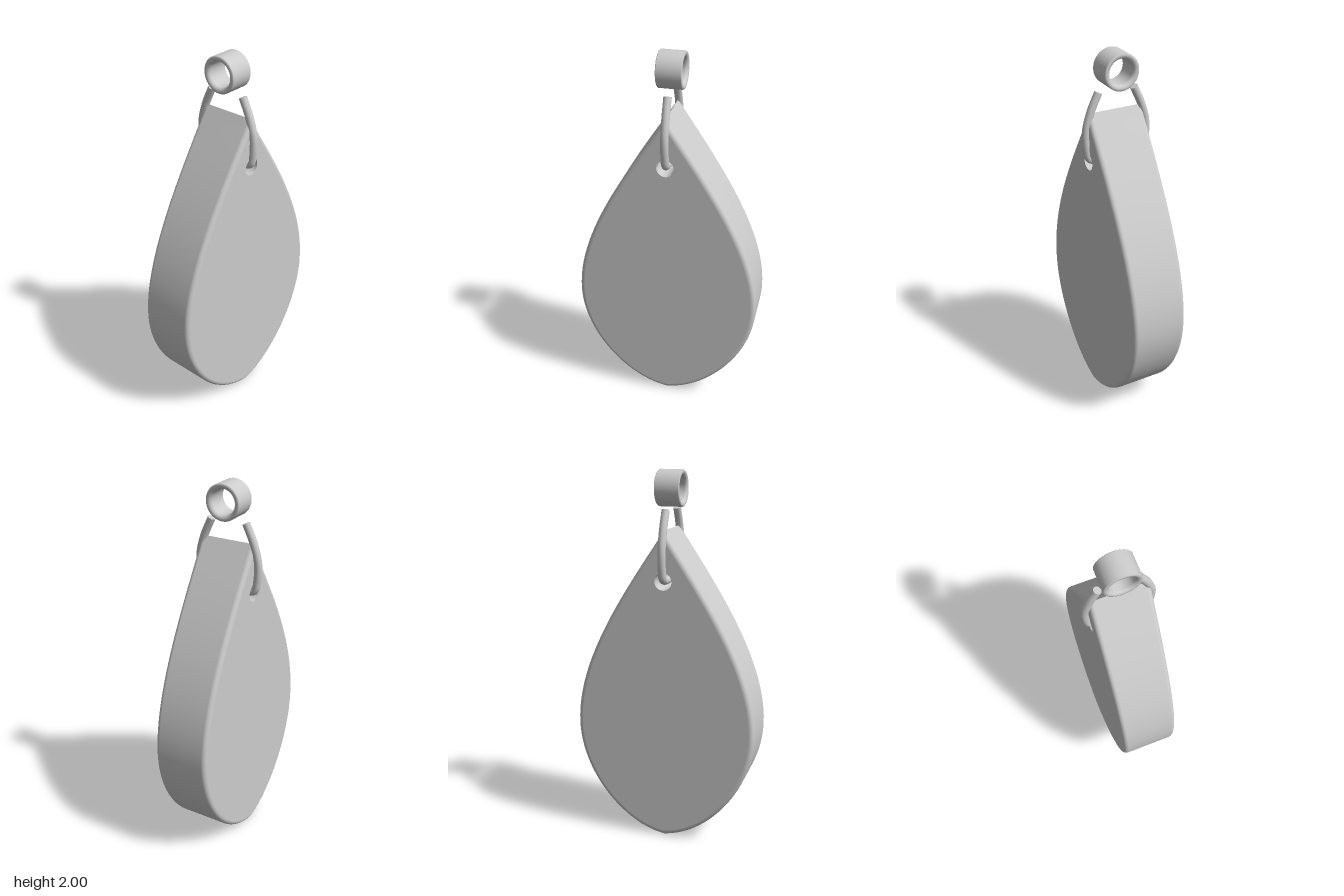
import * as THREE from 'three';

const silver = new THREE.MeshStandardMaterial({ color: 0xcccccc, side: THREE.DoubleSide });
silver.name = 'silver';

const HOLE_Y = 1.44, HOLE_R = 0.046, HALF = 0.15, ROUND = 0.024;

// the front swells slightly towards the top
const lean = (y, z) => z + (z > 0 ? 0.011 * (y / 1.45) : 0);

function add(group, name, geometry) {
  const mesh = new THREE.Mesh(geometry, silver);
  mesh.name = name;
  group.add(mesh);
  return mesh;
}

// teardrop outline, from the tip down the left side and back up the right
function outline() {
  const path = new THREE.Path();
  path.moveTo(0, 1.7);
  path.bezierCurveTo(-0.2, 1.4, -0.495, 1.0, -0.495, 0.63);
  path.bezierCurveTo(-0.495, 0.32, -0.24, 0.03, 0, 0.002);
  path.bezierCurveTo(0.24, 0.03, 0.495, 0.32, 0.495, 0.63);
  path.bezierCurveTo(0.495, 1.0, 0.2, 1.4, 0, 1.7);
  return path.getPoints(32);
}

// outline shrunk towards the middle of the drop
const inset = (points, d) => points.map(p =>
  new THREE.Vector2(p.x * (1 - d / 0.495), 0.65 + (p.y - 0.65) * (1 - d / 0.6)));

function buildStone(group) {
  const base = outline();

  // rounded rim: outlines stacked from back to front
  const sections = [], steps = 6;
  for (const side of [-1, 1]) {
    for (let i = 0; i <= steps; i++) {
      const a = (side < 0 ? 1 - i / steps : i / steps) * Math.PI / 2;
      sections.push({ d: ROUND * (1 - Math.cos(a)), z: side * (HALF - ROUND + ROUND * Math.sin(a)) });
    }
  }
  const pos = [], index = [], n = base.length;
  sections.forEach(({ d, z }, r) => {
    for (const p of inset(base, d)) pos.push(p.x, p.y, lean(p.y, z));
    if (r === 0) return;
    for (let i = 0; i < n - 1; i++) {
      const a = (r - 1) * n + i, b = a + 1, c = a + n, e = b + n;
      index.push(a, b, e, a, e, c);
    }
  });
  const rim = new THREE.BufferGeometry();
  rim.setAttribute('position', new THREE.Float32BufferAttribute(pos, 3));
  rim.setIndex(index);
  rim.computeVertexNormals();
  add(group, 'rim', rim);

  // flat faces pierced by the hole
  for (const side of [-1, 1]) {
    const shape = new THREE.Shape(inset(base, ROUND));
    const hole = new THREE.Path();
    hole.absarc(0, HOLE_Y, HOLE_R, 0, Math.PI * 2, true);
    shape.holes.push(hole);
    const face = new THREE.ShapeGeometry(shape, 16);
    if (side < 0) {
      const ix = face.index.array;
      for (let i = 0; i < ix.length; i += 3) [ix[i], ix[i + 1]] = [ix[i + 1], ix[i]];
    }
    const p = face.attributes.position;
    for (let i = 0; i < p.count; i++) p.setZ(i, lean(p.getY(i), side * HALF));
    face.computeVertexNormals();
    add(group, side > 0 ? 'frontFace' : 'backFace', face);
  }

  // wall of the drilled hole
  const front = lean(HOLE_Y, HALF);
  const bore = new THREE.CylinderGeometry(HOLE_R, HOLE_R, front + HALF, 32, 1, true);
  bore.rotateX(Math.PI / 2).translate(0, HOLE_Y, (front - HALF) / 2);
  add(group, 'holeWall', bore);
}

// wire that passes through the hole and rises on both faces
function buildWire(group) {
  const half = [[1.8, 0.1], [1.7, 0.145], [1.6, 0.171], [1.5, 0.167], [1.455, 0.154], [1.441, 0.12]];
  const points = [
    ...half.map(([y, z]) => new THREE.Vector3(0, y, z)),
    new THREE.Vector3(0, HOLE_Y, 0),
    ...half.slice().reverse().map(([y, z]) => new THREE.Vector3(0, y, -z)),
  ];
  const curve = new THREE.CatmullRomCurve3(points);
  add(group, 'wire', new THREE.TubeGeometry(curve, 96, 0.021, 16));
  for (const t of [0, 1]) {
    const cap = add(group, 'wireEnd', new THREE.CircleGeometry(0.021, 16));
    const end = curve.getPointAt(t);
    cap.position.copy(end);
    cap.lookAt(end.clone().addScaledVector(curve.getTangentAt(t), t ? 1 : -1));
  }
}

// short tube at the top for the chain
function buildBail(group) {
  const profile = [
    [0.066, -0.05], [0.066, 0.05], [0.069, 0.059], [0.076, 0.065], [0.084, 0.067], [0.091, 0.066], [0.095, 0.062],
    [0.095, -0.062], [0.091, -0.066], [0.084, -0.067], [0.076, -0.065], [0.069, -0.059], [0.066, -0.05],
  ].reverse().map(([r, x]) => new THREE.Vector2(r, x));
  const bail = new THREE.LatheGeometry(profile, 48);
  bail.rotateZ(Math.PI / 2).translate(0, 1.905, 0);
  add(group, 'bail', bail);
}

export function createModel() {
  const model = new THREE.Group();
  model.name = 'teardropPendant';
  const stone = new THREE.Group();
  stone.name = 'stone';
  model.add(stone);
  buildStone(stone);
  buildWire(model);
  buildBail(model);
  return model;
}
